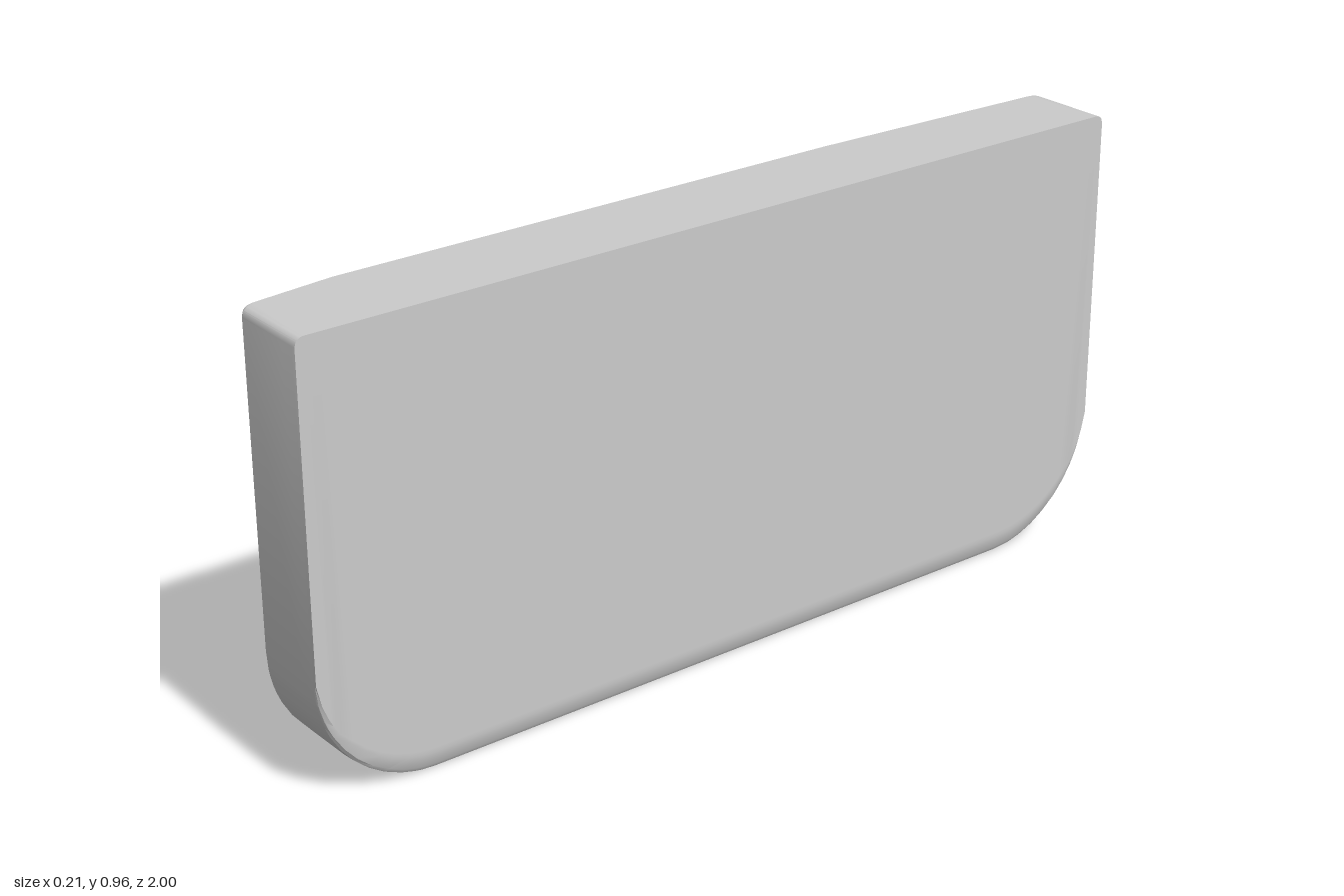
import * as THREE from 'three';
import { toCreasedNormals } from 'three/addons/utils/BufferGeometryUtils.js';

const TOP = 0.963, RZ = 0.26, RY = 0.27, RT = 0.018, FACE = 0.105;

// Outline heights along z: large rounded lower corners, tiny upper ones
const arc = (z, r) => Math.sqrt(Math.max(0, 1 - Math.max(0, (Math.abs(z) - 1 + r) / r) ** 2));
const bottomY = (z) => RY * (1 - arc(z, RZ));
const topY = (z) => TOP - RT * (1 - arc(z, RT));

// Tapered face: short steep taper at the front, long shallow one at the back
const taperX = (z) =>
  -0.106 + 0.022 * Math.max(0, (z - 0.79) / 0.21) + 0.02 * Math.max(0, (-z - 0.4) / 0.6);

function zStations() {
  const zs = [0.79, 0.77, -0.4, -0.38, -0.79];
  for (const s of [1, -1]) {
    for (let i = 0; i <= 10; i++) zs.push(s * (1 - RZ + RZ * Math.sin((i / 10) * Math.PI / 2)));
    for (const d of [RT, 0.012, 0.005]) zs.push(s * (1 - d));
  }
  return zs.sort((a, b) => b - a);
}

// Softens the two ends of the tapered face
function insetEnds(z, d) {
  return z * (1 - d * Math.max(0, (Math.abs(z) - 0.8) / 0.2));
}

// Moves a lower-edge point inwards, fading out up the corner
function insetBottom(z, y, d) {
  const dz = THREE.MathUtils.clamp(z, RZ - 1, 1 - RZ) - z, dy = RY - y;
  const k = d * (1 - y / RY) / Math.hypot(dz, dy);
  return [z + dz * k, y + dy * k];
}

function panelGeometry() {
  const zs = zStations(), n = zs.length, rings = [];
  const outline = [...zs.map((z) => [z, bottomY(z), true]),
    ...zs.map((z) => [z, topY(z), false]).reverse()];

  // Tapered side: inset rim, then full outline
  for (const [dx, d] of [[0, 0.012], [0.003, 0.004], [0.01, 0]]) {
    rings.push(outline.map(([z, y]) => [taperX(z) + dx, y, insetEnds(z, d)]));
  }
  // Flat side: lower edge eased over into the face
  for (const [x, d] of [[0.06, 0], [0.094, 0.003], [0.1, 0.012], [FACE, 0.04], [FACE, 0.05]]) {
    rings.push(outline.map(([z, y, low]) => {
      const [pz, py] = low ? insetBottom(z, y, d) : [z, y];
      return [x, py, pz];
    }));
  }

  const m = 2 * n, index = [];
  const quad = (a, b, c, d) => index.push(a, b, c, a, c, d);
  // Rim all the way round
  for (let k = 0; k < rings.length - 1; k++) {
    for (let j = 0; j < m; j++) {
      const j2 = (j + 1) % m;
      quad(k * m + j, k * m + j2, (k + 1) * m + j2, (k + 1) * m + j);
    }
  }
  // Two broad faces as strips from bottom to top
  const last = (rings.length - 1) * m;
  for (let i = 0; i < n - 1; i++) {
    const t = m - 1 - i;
    quad(last + i, last + i + 1, last + t - 1, last + t);
    quad(i, t, t - 1, i + 1);
  }

  const geo = new THREE.BufferGeometry();
  geo.setAttribute('position', new THREE.Float32BufferAttribute(rings.flat(2), 3));
  geo.setIndex(index);
  return toCreasedNormals(geo, 0.5);
}

export function createModel() {
  const group = new THREE.Group();
  const panel = new THREE.Mesh(panelGeometry(), new THREE.MeshStandardMaterial({ color: 0xcccccc }));
  panel.name = 'panel';
  group.add(panel);
  return group;
}
